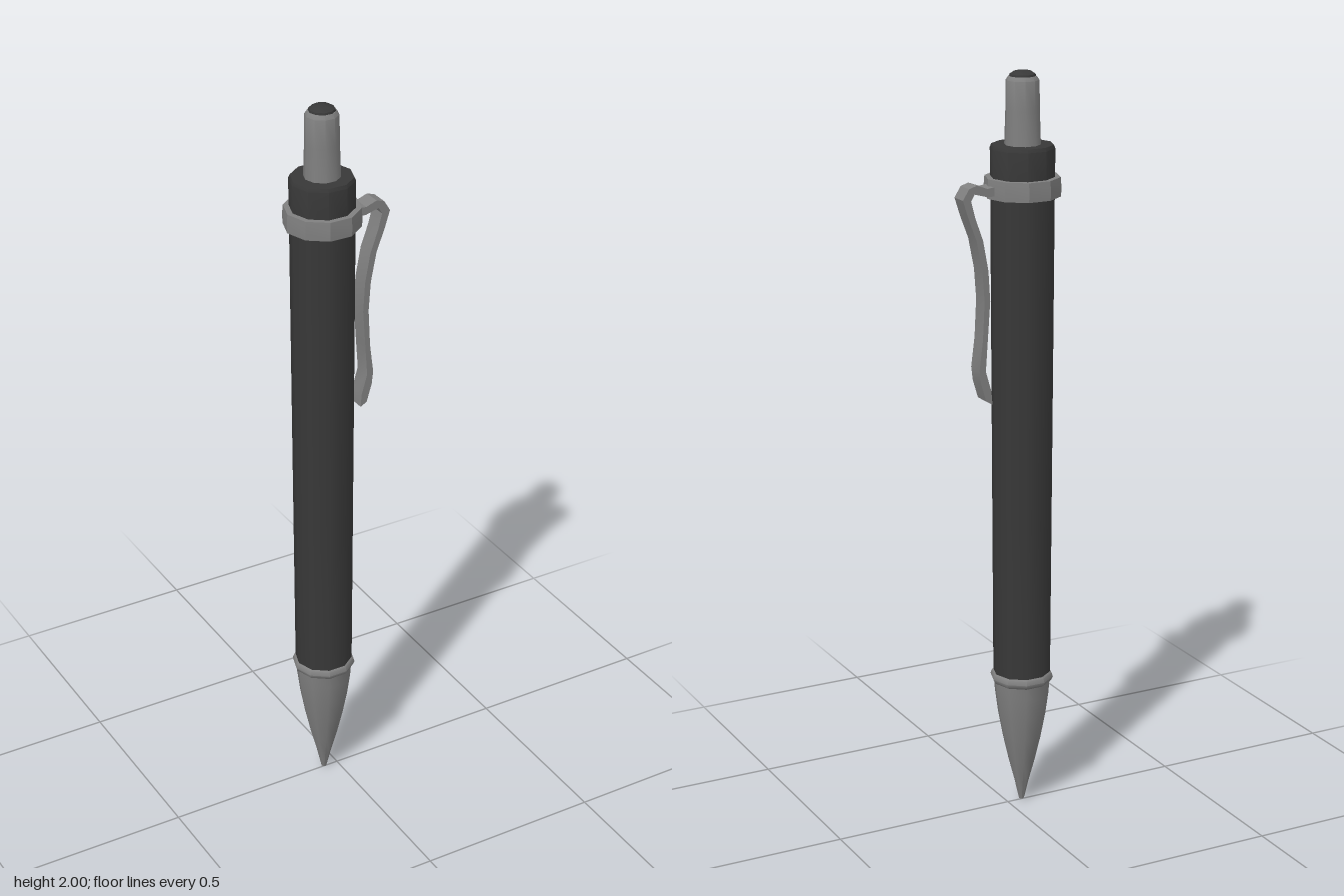
import * as THREE from 'three';
import { toCreasedNormals } from 'three/addons/utils/BufferGeometryUtils.js';

const AXIS_X = -0.042; // the barrel axis sits off centre because of the clip
const SIDES = 10;
const v2 = (pts) => pts.map(([x, y]) => new THREE.Vector2(x, y));

export function createModel() {
  const pen = new THREE.Group();
  pen.name = 'pen';
  const dark = new THREE.MeshStandardMaterial({ color: 0x383838 });
  const metal = new THREE.MeshStandardMaterial({ color: 0x808080 });

  // Ten-sided turned part from a bottom-to-top profile of [radius, height]
  function turned(name, profile, material, crease = 0.7) {
    const geo = new THREE.LatheGeometry(v2(profile), SIDES);
    geo.rotateY(Math.PI / 2);
    const mesh = new THREE.Mesh(toCreasedNormals(geo, crease), material);
    mesh.name = name;
    mesh.position.x = AXIS_X;
    pen.add(mesh);
  }

  // Writing tip and its rounded seam ring
  turned('tip', [[0, 0], [0.007, 0.004], [0.02, 0.06], [0.036, 0.12], [0.052, 0.19],
    [0.065, 0.26], [0.073, 0.32], [0.076, 0.36]], metal);
  turned('tipRing', [[0.074, 0.352], [0.081, 0.357], [0.085, 0.367],
    [0.081, 0.378], [0.074, 0.384]], metal);

  // Barrel, widening slightly towards the top
  turned('barrel', [[0, 0.36], [0.077, 0.36], [0.079, 0.8], [0.081, 1.24],
    [0.083, 1.69], [0.084, 1.803], [0.08, 1.812], [0, 1.812]], dark);

  // Faceted collar that holds the clip
  turned('collar', [[0.08, 1.68], [0.099, 1.68], [0.1, 1.705], [0.098, 1.73], [0.08, 1.73]],
    metal, 0.3);

  // Push button with a dark domed end
  turned('button', [[0.047, 1.81], [0.044, 1.9], [0.043, 1.975], [0.036, 1.985], [0, 1.985]], metal);
  turned('buttonCap', [[0.036, 1.98], [0.033, 1.99], [0.022, 1.997], [0, 2]], dark);

  // Spring clip: outer edge going down, inner edge coming back up
  const outer = v2([[0.04, 1.715], [0.07, 1.711], [0.1, 1.722], [0.122, 1.715], [0.139, 1.687],
    [0.124, 1.64], [0.101, 1.58], [0.085, 1.5], [0.079, 1.42], [0.084, 1.32], [0.094, 1.24],
    [0.09, 1.205], [0.075, 1.155], [0.057, 1.145]]);
  const inner = v2([[0.06, 1.18], [0.076, 1.235], [0.07, 1.32], [0.063, 1.42], [0.068, 1.5],
    [0.083, 1.58], [0.105, 1.64], [0.116, 1.683], [0.106, 1.7], [0.07, 1.69], [0.04, 1.69]]);
  const clipGeo = new THREE.ExtrudeGeometry(new THREE.Shape([...outer, ...inner]),
    { depth: 0.048, bevelEnabled: false });
  clipGeo.translate(0, 0, -0.024);
  const clip = new THREE.Mesh(toCreasedNormals(clipGeo, 0.45), metal);
  clip.name = 'clip';
  pen.add(clip);

  return pen;
}
